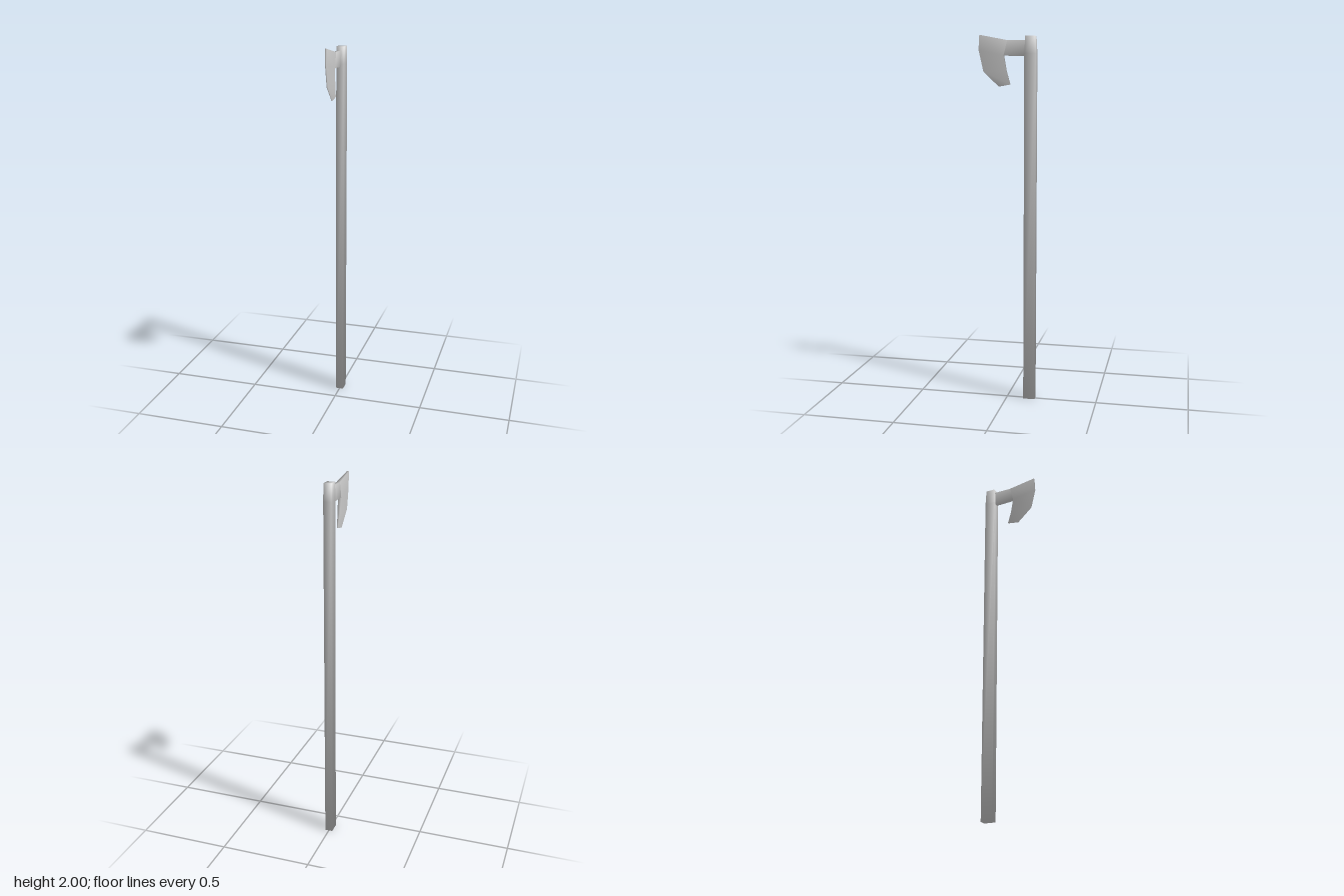
import * as THREE from 'three';

const material = new THREE.MeshStandardMaterial({ color: 0xcccccc });

// Closed solid lofted through stations; each is [outer, inner], points being [z, y, half thickness].
function loft(stations, name) {
  const positions = [], index = [];
  for (const [o, i] of stations) {
    positions.push(o[2], o[1], o[0], i[2], i[1], i[0], -i[2], i[1], i[0], -o[2], o[1], o[0]);
  }
  for (let s = 0; s < stations.length - 1; s++) {
    for (let c = 0; c < 4; c++) {
      const k0 = s * 4 + c, n0 = s * 4 + (c + 1) % 4;
      index.push(k0, n0 + 4, n0, k0, k0 + 4, n0 + 4);
    }
  }
  const e = (stations.length - 1) * 4;
  index.push(0, 1, 2, 0, 2, 3, e + 3, e + 2, e + 1, e + 3, e + 1, e);
  const geometry = new THREE.BufferGeometry();
  geometry.setAttribute('position', new THREE.Float32BufferAttribute(positions, 3));
  geometry.setIndex(index);
  geometry.computeVertexNormals();
  const mesh = new THREE.Mesh(geometry, material);
  mesh.name = name;
  return mesh;
}

// Rectangular shaft with softened shading, narrowing front to back near the top.
function createShaft() {
  const geometry = new THREE.BoxGeometry(0.042, 2, 0.063, 1, 2, 1);
  const p = geometry.attributes.position, n = geometry.attributes.normal;
  const normal = new THREE.Vector3();
  for (let i = 0; i < p.count; i++) {
    const level = Math.round(p.getY(i)); // -1 foot, 0 shoulder, 1 top
    normal.set(Math.sign(p.getX(i)), level, Math.sign(p.getZ(i))).normalize();
    n.setXYZ(i, normal.x, normal.y, normal.z);
    p.setY(i, [0, 1.9, 1.99][level + 1]);
    if (level === 1) p.setZ(i, p.getZ(i) * 0.84);
  }
  const mesh = new THREE.Mesh(geometry, material);
  mesh.name = 'shaft';
  mesh.position.z = -0.1265;
  return mesh;
}

export function createModel() {
  const group = new THREE.Group();
  group.name = 'longAxe';
  group.add(createShaft());

  const head = new THREE.Group();
  head.name = 'axeHead';
  head.position.x = -0.0035;

  // Neck joining the shaft to the blade
  head.add(loft([
    [[-0.11, 1.97, 0.009], [-0.11, 1.886, 0.009]],
    [[0, 1.97, 0.009], [0.02, 1.89, 0.009]],
  ], 'neck'));

  // Bearded blade, thinning towards its cutting edge and lower tip
  head.add(loft([
    [[0.153, 2.0, 0.005], [0, 1.97, 0.009]],
    [[0.158, 1.92, 0.003], [0.02, 1.89, 0.009]],
    [[0.132, 1.807, 0.003], [0.005, 1.807, 0.006]],
    [[0.048, 1.727, 0.002], [-0.016, 1.738, 0.003]],
  ], 'blade'));

  group.add(head);
  return group;
}
